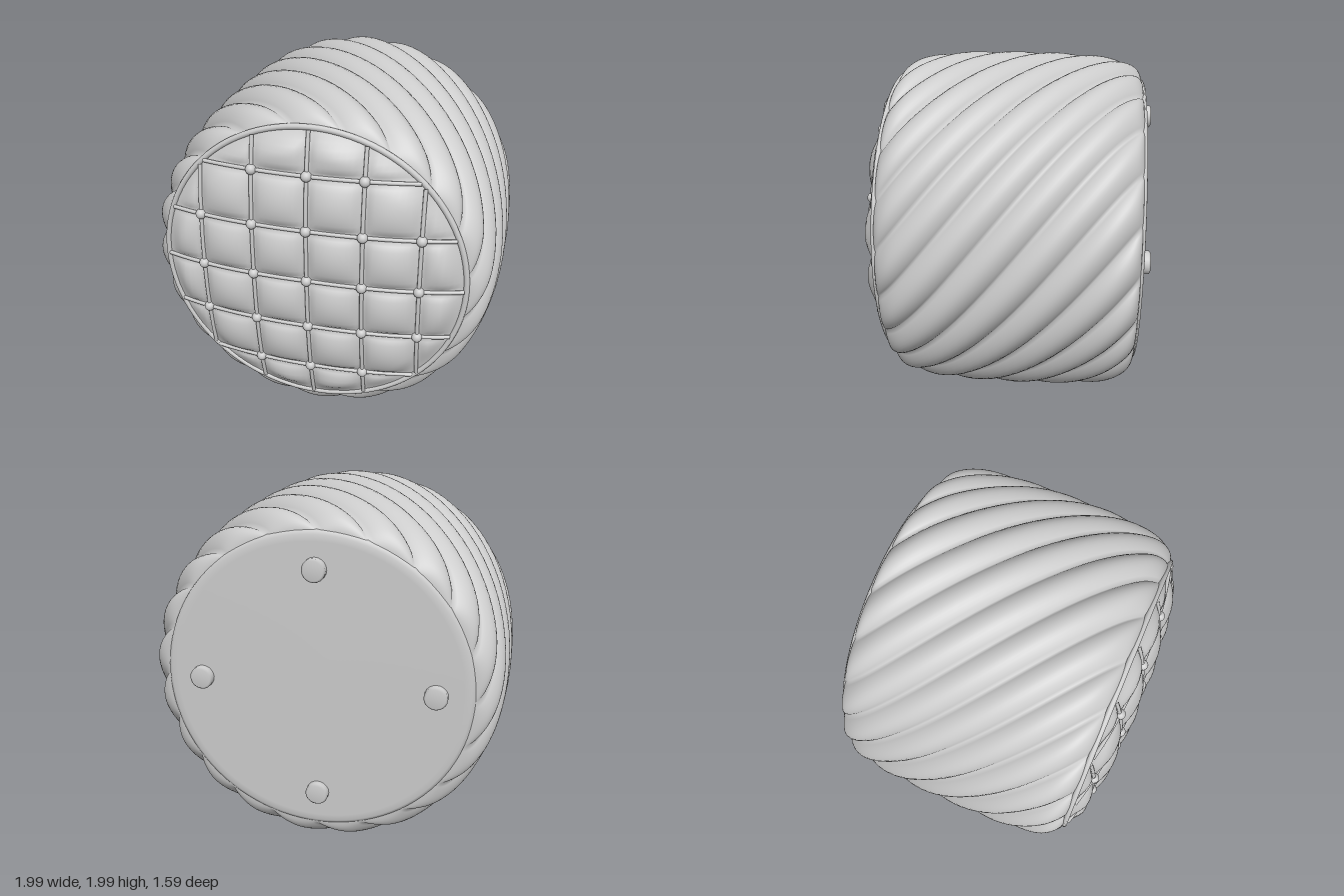
import * as THREE from 'three';
import { mergeVertices } from 'three/addons/utils/BufferGeometryUtils.js';

const RIDGES = 20, TWIST = 1.3, RIM = 0.84, STEP = 0.3;
const material = new THREE.MeshStandardMaterial({ color: 0xcccccc });

function add(parent, name, geometry, x = 0, y = 0, z = 0) {
  const mesh = new THREE.Mesh(geometry, material);
  mesh.name = name;
  mesh.position.set(x, y, z);
  parent.add(mesh);
  return mesh;
}

// Drop seams so that normals are smooth all round
function smooth(geometry) {
  geometry.deleteAttribute('uv');
  geometry.deleteAttribute('normal');
  const merged = mergeVertices(geometry, 1e-5);
  merged.computeVertexNormals();
  return merged;
}

// Lathe about the z axis, points are [radius, z] from back to front
function latheZ(points, segments) {
  return new THREE.LatheGeometry(points.map(([r, z]) => new THREE.Vector2(r, z)), segments).rotateX(Math.PI / 2);
}

// Round body with puffed pleats spiralling from front to back
function bodyGeometry() {
  const curve = new THREE.SplineCurve([
    [0.78, -0.745], [0.86, -0.735], [0.915, -0.68], [0.955, -0.55], [0.975, -0.3], [0.98, 0],
    [0.972, 0.3], [0.945, 0.5], [0.905, 0.595], [0.85, 0.64], [0.78, 0.64],
  ].map(([r, z]) => new THREE.Vector2(r, z)));
  const geo = latheZ(curve.getPoints(60).map(p => [p.x, p.y]), RIDGES * 12);
  const pos = geo.attributes.position;
  for (let i = 0; i < pos.count; i++) {
    const x = pos.getX(i), y = pos.getY(i), z = pos.getZ(i);
    const a = Math.atan2(y, x);
    const fade = THREE.MathUtils.smoothstep(Math.hypot(x, y), 0.79, 0.93);
    const puff = Math.pow(Math.abs(Math.sin(a * RIDGES / 2)), 0.8);
    const r = Math.hypot(x, y) + fade * (0.052 * puff - 0.038);
    const t = a - TWIST * z;
    pos.setXY(i, r * Math.cos(t), r * Math.sin(t));
  }
  return smooth(geo);
}

// Height of the cushion at its seams
const dome = (x, y) => 0.643 + 0.1 * (1 - Math.pow(Math.min(1, Math.hypot(x, y) / RIM), 2.6));

// Domed cushion with a puff in every square of the grid
function cushionGeometry() {
  const geo = new THREE.PlaneGeometry(1.8, 1.8, 60, 60);
  const pos = geo.attributes.position;
  for (let i = 0; i < pos.count; i++) {
    let x = pos.getX(i), y = pos.getY(i);
    const r = Math.hypot(x, y), k = r > RIM ? RIM / r : 1;
    x *= k;
    y *= k;
    const s = Math.abs(Math.sin(Math.PI * x / STEP) * Math.sin(Math.PI * y / STEP));
    const edge = THREE.MathUtils.smoothstep(RIM - Math.hypot(x, y), 0, 0.12);
    pos.setXYZ(i, x, y, dome(x, y) + 0.052 * Math.pow(s, 0.55) * edge);
  }
  geo.computeVertexNormals();
  return geo;
}

// Cord following the dome along one chord of the rim
function cordGeometry(offset, upright) {
  const half = Math.sqrt(RIM * RIM - offset * offset) - 0.01;
  const points = [];
  for (let i = 0; i <= 16; i++) {
    const t = half * (i / 8 - 1);
    const [x, y] = upright ? [offset, t] : [t, offset];
    points.push(new THREE.Vector3(x, y, dome(x, y) + 0.01));
  }
  return new THREE.TubeGeometry(new THREE.CatmullRomCurve3(points), 48, 0.011, 8);
}

export function createModel() {
  const model = new THREE.Group();
  model.name = 'pouf';
  add(model, 'pleatedBody', bodyGeometry(), 0, 1.005, 0);

  // Tufted front
  const front = new THREE.Group();
  front.name = 'tuftedFront';
  front.position.set(-0.008, 1.015, 0);
  model.add(front);
  add(front, 'cushion', cushionGeometry());
  add(front, 'piping', new THREE.TorusGeometry(RIM, 0.016, 10, 96), 0, 0, 0.643);
  const button = new THREE.SphereGeometry(0.029, 16, 12);
  for (let i = -2; i <= 2; i++) {
    add(front, 'uprightCord', cordGeometry(i * STEP, true));
    add(front, 'levelCord', cordGeometry(i * STEP, false));
    for (let j = -2; j <= 2; j++) {
      if (Math.abs(i * j) === 4) continue;
      const x = i * STEP, y = j * STEP;
      add(front, 'button', button, x, y, dome(x, y) + 0.012);
    }
  }

  // Flat back panel with a soft edge
  add(model, 'backPanel', latheZ([
    [0, -0.76], [0.78, -0.76], [0.815, -0.757], [0.832, -0.748], [0.838, -0.73], [0.83, -0.7],
  ], 96), 0, 1.015, 0);

  // Four feet
  const foot = latheZ([[0, -0.8], [0.052, -0.8], [0.063, -0.79], [0.063, -0.75]], 20);
  for (let i = 0; i < 4; i++) {
    const a = i * Math.PI / 2;
    add(model, 'foot', foot, 0.635 * Math.cos(a), 1.018 + 0.635 * Math.sin(a), 0);
  }
  return model;
}
